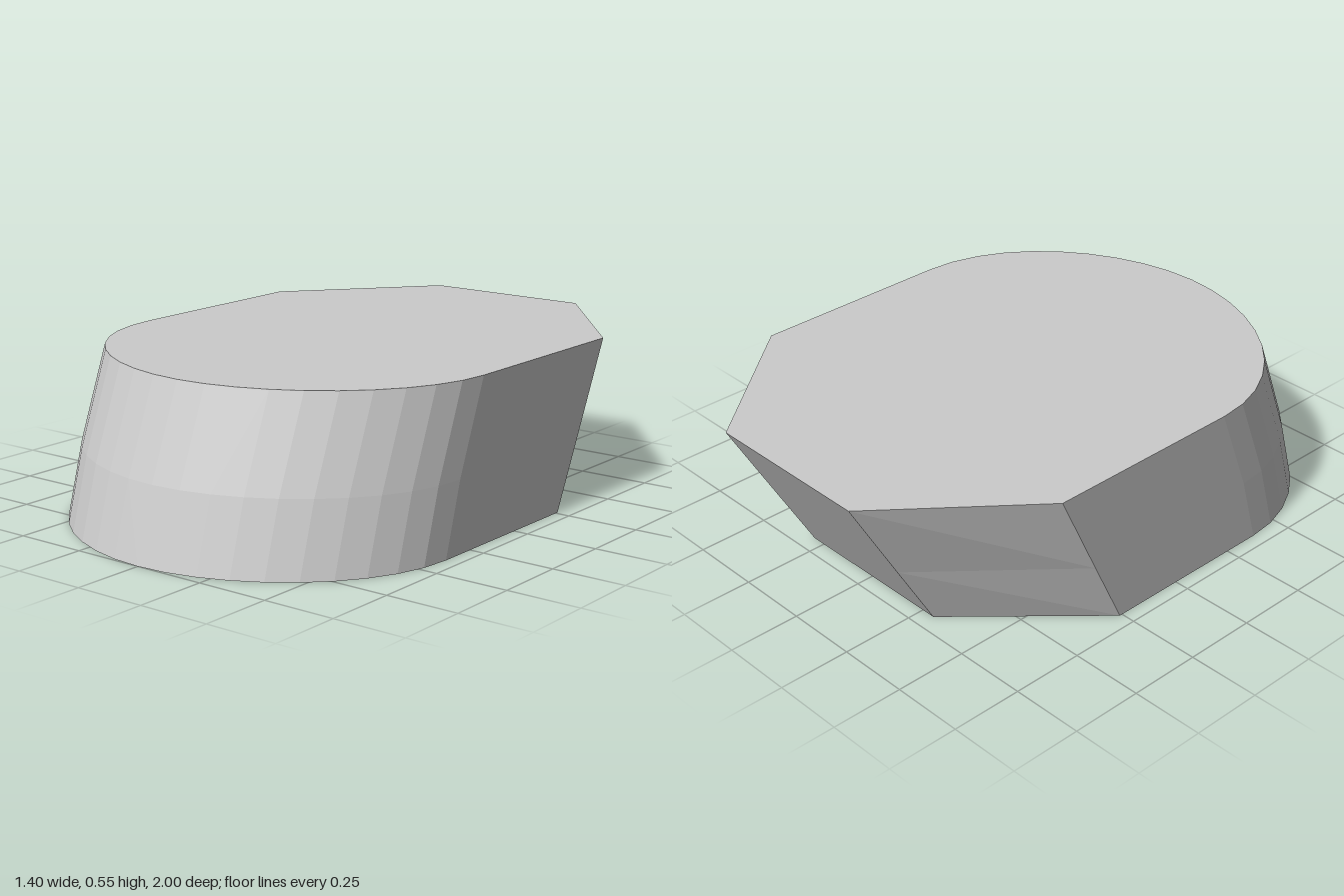
import * as THREE from 'three';

// Outline at one height: chamfered back corners, straight sides, rounded front.
function outline(y, shift, sideZ, backZ) {
  const front = new THREE.CubicBezierCurve(
    new THREE.Vector2(0.7, 0.19), new THREE.Vector2(0.7, 0.53),
    new THREE.Vector2(0.35, 0.81), new THREE.Vector2(0, 0.81)
  ).getPoints(10).map((p) => [p.x, y, p.y + shift]);
  const half = [[0.3, y, backZ], [0.7, y, sideZ], ...front];
  const mirrored = half.slice(0, -1).reverse().map(([x, h, z]) => [-x, h, z]);
  return [...half, ...mirrored];
}

// Skin stacked rings and close both ends with fans.
function loft(rings) {
  const n = rings[0].length;
  const pos = [];
  const tri = (a, b, c) => pos.push(...a, ...b, ...c);
  for (let r = 0; r < rings.length - 1; r++) {
    const [lo, hi] = [rings[r], rings[r + 1]];
    for (let i = 0; i < n; i++) {
      const j = (i + 1) % n;
      if (i < n / 2 - 1) { // diagonals mirror across the centre line
        tri(lo[i], hi[i], lo[j]);
        tri(lo[j], hi[i], hi[j]);
      } else {
        tri(lo[i], hi[i], hi[j]);
        tri(lo[i], hi[j], lo[j]);
      }
    }
  }
  const [bottom, top] = [rings[0], rings[rings.length - 1]];
  for (let i = 1; i < n - 1; i++) {
    tri(bottom[0], bottom[i], bottom[i + 1]);
    tri(top[0], top[i + 1], top[i]);
  }
  const geometry = new THREE.BufferGeometry();
  geometry.setAttribute('position', new THREE.Float32BufferAttribute(pos, 3));
  geometry.computeVertexNormals();
  return geometry;
}

export function createModel() {
  const group = new THREE.Group();
  group.name = 'slantedBlock';

  // Body leaning backwards, with a slight bulge down the front
  const body = new THREE.Mesh(
    loft([
      outline(0, 0.19, -0.26, -0.69),
      outline(0.24, 0.12, -0.375, -0.827),
      outline(0.545, 0, -0.52, -1),
    ]),
    new THREE.MeshStandardMaterial({ color: 0xcccccc, flatShading: true })
  );
  body.name = 'body';
  group.add(body);
  return group;
}
